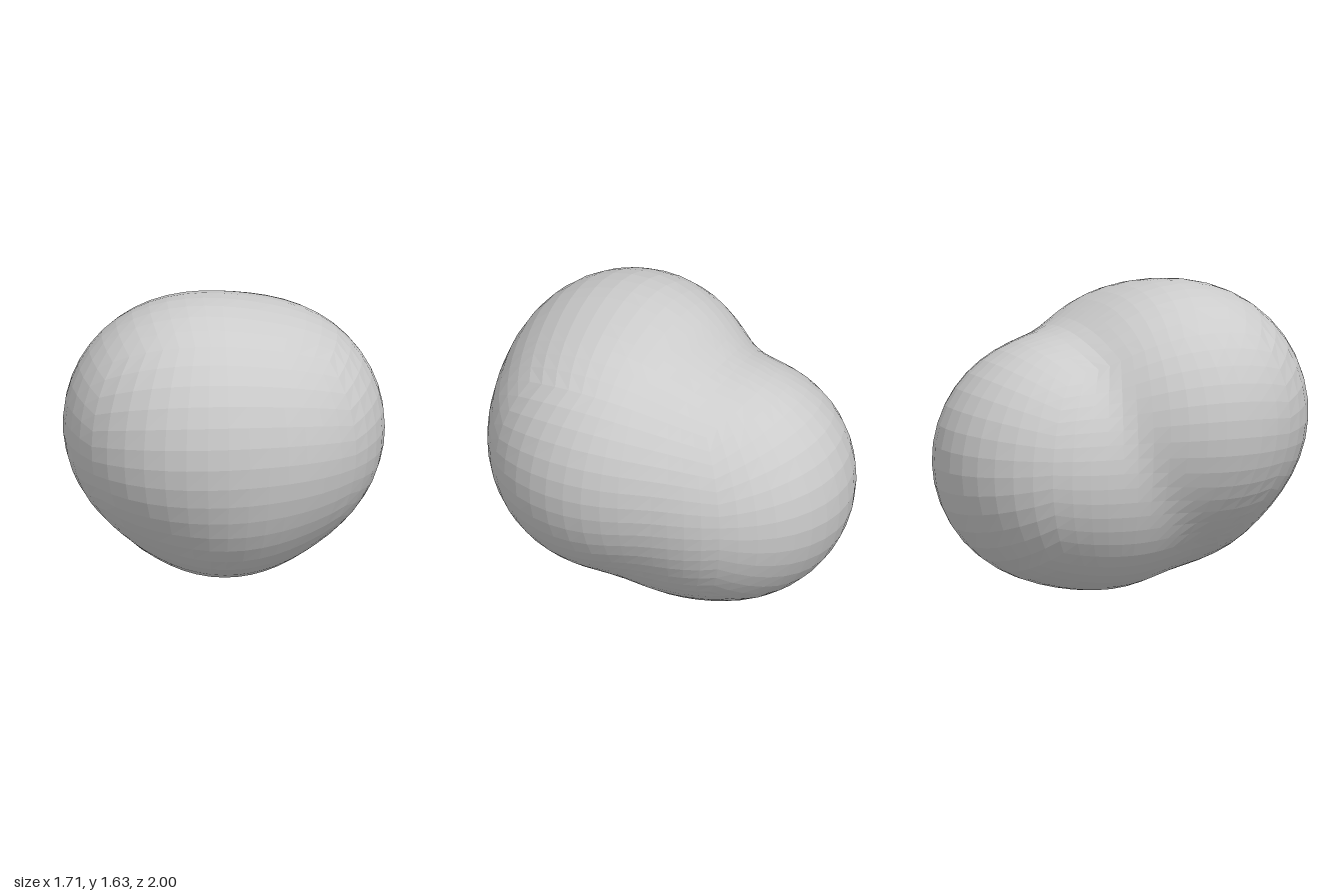
import * as THREE from 'three';
import { mergeVertices } from 'three/addons/utils/BufferGeometryUtils.js';

// Overlapping lobes that melt together: centre x, y, z and radius
const LOBES = [
  [-0.19, 0.95, 0.32, 0.665],  // upper front, right side
  [0.18, 0.89, 0.23, 0.672],   // upper front, left side
  [-0.04, 0.92, 0.28, 0.665],  // crown
  [0.00, 0.70, 0.30, 0.59],    // lower front
  [-0.06, 0.62, -0.10, 0.61],  // underside
  [-0.05, 0.71, -0.35, 0.65],  // back
  [0.12, 0.78, -0.20, 0.55],   // left flank
];
const BLEND = 0.05;
const CORE = new THREE.Vector3(-0.02, 0.8, 0);
const SEGMENTS = 14;

// Distance to the smooth union of all lobes, negative inside
function distance(p) {
  let sum = 0;
  for (const [x, y, z, r] of LOBES) {
    sum += Math.exp((r - Math.hypot(p.x - x, p.y - y, p.z - z)) / BLEND);
  }
  return -BLEND * Math.log(sum);
}

// Find the outer skin along a ray from the core
function skinPoint(dir) {
  let near = 0, far = 1.6;
  const p = new THREE.Vector3();
  for (let i = 0; i < 24; i++) {
    const mid = (near + far) / 2;
    p.copy(CORE).addScaledVector(dir, mid);
    if (distance(p) < 0) near = mid; else far = mid;
  }
  return p;
}

export function createModel() {
  const group = new THREE.Group();
  group.name = 'boulder';

  // A subdivided cube gives even, grid-like facets
  let geo = new THREE.BoxGeometry(2, 2, 2, SEGMENTS, SEGMENTS, SEGMENTS);
  geo.deleteAttribute('normal');
  geo.deleteAttribute('uv');
  geo = mergeVertices(geo);
  const pos = geo.attributes.position;
  const v = new THREE.Vector3();
  for (let i = 0; i < pos.count; i++) {
    v.fromBufferAttribute(pos, i);
    v.set(...v.toArray().map((c) => Math.tan(c * Math.PI / 4))).normalize();
    pos.setXYZ(i, ...skinPoint(v).toArray());
  }
  geo.computeVertexNormals();

  const stone = new THREE.Mesh(geo, new THREE.MeshStandardMaterial({ color: 0xcccccc, flatShading: true }));
  stone.name = 'lobedStone';
  group.add(stone);
  return group;
}
